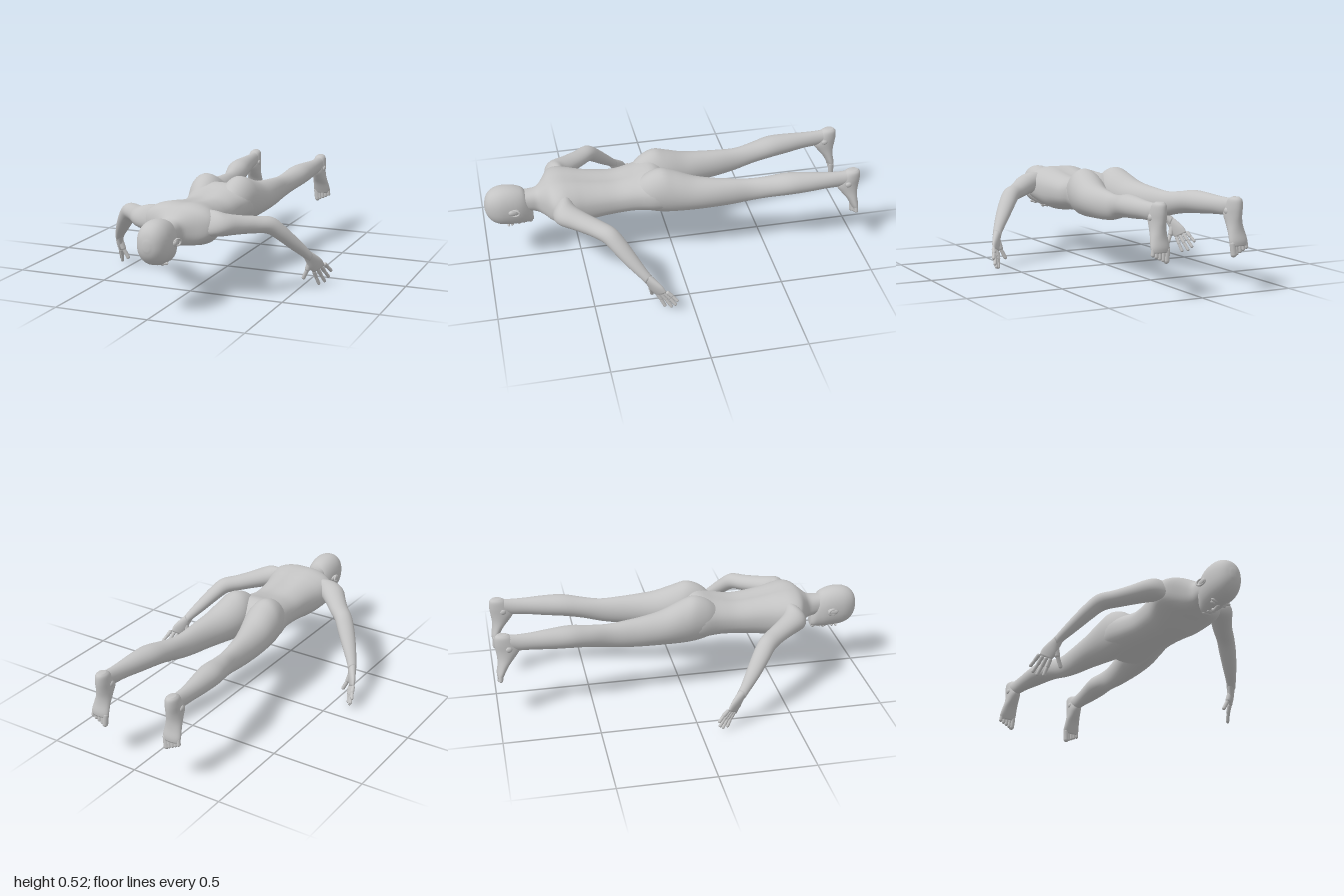
import * as THREE from 'three';

const skin = new THREE.MeshStandardMaterial({ color: 0xc4c4c4 });
skin.name = 'plainGrey';
const V = (x, y, z) => new THREE.Vector3(x, y, z);

// Smooth closed tube through sections [x, y, z, ru, rv]; u and v span each cross-section
function loft(name, secs, u, v, { sides = 24, steps = 4, power = 1, shape } = {}) {
  const centres = new THREE.CatmullRomCurve3(secs.map(s => V(s[0], s[1], s[2])), false, 'catmullrom');
  const radii = new THREE.CatmullRomCurve3(secs.map(s => V(s[3], s[4], 0)), false, 'catmullrom');
  const n = (secs.length - 1) * steps;
  const pos = [], index = [];
  const bend = t => Math.sign(t) * Math.abs(t) ** power;
  for (let i = -1; i <= n + 1; i++) {
    const t = Math.min(Math.max(i, 0), n) / n;
    const cap = i < 0 || i > n ? 0 : 1;
    const c = centres.getPoint(t), r = radii.getPoint(t);
    for (let j = 0; j < sides; j++) {
      const a = j / sides * Math.PI * 2;
      const p = c.clone()
        .addScaledVector(u, bend(Math.cos(a)) * Math.max(r.x, 0) * cap)
        .addScaledVector(v, bend(Math.sin(a)) * Math.max(r.y, 0) * cap);
      if (shape) shape(p, Math.sin(a) * cap);
      pos.push(p.x, p.y, p.z);
    }
  }
  const along = centres.getPoint(1).sub(centres.getPoint(0));
  const outward = u.clone().cross(v).dot(along) > 0;
  for (let i = 0; i < n + 2; i++) {
    for (let j = 0; j < sides; j++) {
      const k = (j + 1) % sides;
      const a = i * sides + j, b = i * sides + k, c = b + sides, d = a + sides;
      if (outward) index.push(a, b, c, a, c, d);
      else index.push(a, c, b, a, d, c);
    }
  }
  const g = new THREE.BufferGeometry();
  g.setAttribute('position', new THREE.Float32BufferAttribute(pos, 3));
  g.setIndex(index);
  g.computeVertexNormals();
  const m = new THREE.Mesh(g, skin);
  m.name = name;
  return m;
}

// Rounded rod between two points
function rod(name, a, b, r) {
  const d = b.clone().sub(a);
  const m = new THREE.Mesh(new THREE.CapsuleGeometry(r, Math.max(d.length() - 2 * r, 0.001), 5, 10), skin);
  m.position.copy(a).add(b).multiplyScalar(0.5);
  m.quaternion.setFromUnitVectors(V(0, 1, 0), d.normalize());
  m.name = name;
  return m;
}

function blob(name, p, s) {
  const m = new THREE.Mesh(new THREE.SphereGeometry(1, 20, 14), skin);
  m.position.set(...p);
  m.scale.set(...s);
  m.name = name;
  return m;
}

export function createModel() {
  const body = new THREE.Group();
  body.name = 'proneFigure';
  const X = V(1, 0, 0), Y = V(0, 1, 0), Z = V(0, 0, 1);
  // Section given as z, half width, underside and top
  const slice = ([z, w, lo, hi]) => [0, (lo + hi) / 2, z, w, (hi - lo) / 2];

  // Torso and neck, with a shallow groove down the spine
  body.add(loft('torso', [
    [0.82, 0.05, 0.32, 0.43], [0.76, 0.055, 0.315, 0.43], [0.72, 0.062, 0.305, 0.437],
    [0.69, 0.1, 0.295, 0.457], [0.65, 0.175, 0.285, 0.485], [0.6, 0.195, 0.275, 0.495],
    [0.54, 0.18, 0.258, 0.49], [0.48, 0.163, 0.25, 0.48], [0.4, 0.15, 0.26, 0.468],
    [0.3, 0.145, 0.27, 0.46], [0.2, 0.157, 0.278, 0.475], [0.1, 0.183, 0.275, 0.495],
    [0.03, 0.17, 0.275, 0.45], [-0.01, 0.09, 0.285, 0.39], [-0.025, 0.03, 0.31, 0.36],
  ].map(slice), X, Y, {
    sides: 40, power: 0.85,
    shape: (p, up) => {
      if (up > 0 && p.z < 0.68 && p.z > 0.15) p.y -= 0.014 * Math.exp(-((p.x / 0.04) ** 2)) * Math.sin((p.z - 0.15) / 0.53 * Math.PI);
    },
  }));

  // Head, face downward
  const head = new THREE.Group();
  head.name = 'head';
  head.add(loft('skull', [
    [0.745, 0.025, 0.25, 0.3], [0.76, 0.046, 0.242, 0.37], [0.785, 0.062, 0.24, 0.435],
    [0.82, 0.076, 0.242, 0.457], [0.87, 0.083, 0.245, 0.468], [0.92, 0.082, 0.252, 0.466],
    [0.96, 0.068, 0.272, 0.45], [0.985, 0.046, 0.303, 0.422], [0.998, 0.016, 0.34, 0.382],
  ].map(slice), X, Y, { sides: 32, power: 0.9 }));
  head.add(
    rod('noseBridge', V(0, 0.25, 0.868), V(0, 0.234, 0.825), 0.009),
    blob('noseTip', [0, 0.237, 0.824], [0.014, 0.013, 0.011]),
    blob('upperLip', [0, 0.241, 0.798], [0.022, 0.007, 0.006]),
    blob('lowerLip', [0, 0.242, 0.788], [0.019, 0.007, 0.006]),
    blob('chin', [0, 0.247, 0.762], [0.024, 0.014, 0.014]));
  for (const s of [1, -1]) {
    head.add(blob('eye', [s * 0.032, 0.254, 0.862], [0.015, 0.011, 0.009]));
    head.add(blob('brow', [s * 0.033, 0.256, 0.882], [0.026, 0.01, 0.007]));
    const ear = blob('ear', [s * 0.086, 0.357, 0.848], [0.01, 0.018, 0.029]);
    ear.rotation.y = s * 0.2;
    const rim = new THREE.Mesh(new THREE.TorusGeometry(0.021, 0.005, 8, 20), skin);
    rim.name = 'earRim';
    rim.rotation.y = Math.PI / 2 - s * 0.25;
    rim.scale.set(1.25, 0.8, 1);
    rim.position.set(s * 0.092, 0.356, 0.848);
    head.add(ear, rim);
  }
  body.add(head);

  for (const s of [1, -1]) {
    const side = s > 0 ? 'left' : 'right';
    const P = (x, y, z) => V(s * x, y, z);

    // Leg with buttock: inner x, outer x, underside, top, z
    body.add(loft(side + 'Leg', [
      [0.03, 0.135, 0.31, 0.45, 0.2], [0.008, 0.17, 0.29, 0.503, 0.14], [0, 0.19, 0.277, 0.528, 0.07],
      [0, 0.2, 0.275, 0.508, 0], [0.03, 0.206, 0.283, 0.472, -0.1], [0.062, 0.205, 0.29, 0.456, -0.2],
      [0.086, 0.2, 0.297, 0.447, -0.3], [0.105, 0.2, 0.312, 0.441, -0.4], [0.115, 0.225, 0.335, 0.451, -0.5],
      [0.122, 0.249, 0.35, 0.467, -0.6], [0.142, 0.25, 0.358, 0.466, -0.7], [0.164, 0.245, 0.368, 0.46, -0.8],
      [0.176, 0.241, 0.372, 0.459, -0.88], [0.18, 0.241, 0.385, 0.462, -0.94], [0.19, 0.232, 0.4, 0.45, -0.975],
    ].map(([a, b, lo, hi, z]) => [s * (a + b) / 2, (lo + hi) / 2, z, (b - a) / 2, (hi - lo) / 2]), X, Y, { sides: 28 }));

    // Foot pointing down from the heel
    const foot = new THREE.Group();
    foot.name = side + 'Foot';
    foot.add(loft('footBody', [
      [0.21, 0.47, -0.955, 0.018, 0.024], [0.21, 0.455, -0.95, 0.031, 0.043], [0.21, 0.42, -0.94, 0.036, 0.056],
      [0.21, 0.38, -0.93, 0.037, 0.062], [0.212, 0.34, -0.94, 0.039, 0.047], [0.215, 0.3, -0.957, 0.045, 0.031],
      [0.217, 0.26, -0.972, 0.05, 0.023], [0.217, 0.235, -0.978, 0.046, 0.016],
    ].map(([x, ...r]) => [s * x, ...r]), X, Z));
    for (let i = 0; i < 5; i++) {
      const x = 0.183 + i * 0.0185, r = i ? 0.0105 : 0.0155;
      foot.add(rod('toe', P(x - 0.002, 0.26, -0.975), P(x + (i ? 0.003 : 0.006), 0.18 + i * 0.009, -0.979), r));
    }
    for (const [x, y] of [[0.178, 0.4], [0.244, 0.395]]) foot.add(blob('ankleBone', [s * x, y, -0.925], [0.01, 0.016, 0.017]));
    body.add(foot);

    // Arm, reaching outward then down
    body.add(loft(side + 'Arm', [
      [0.09, 0.405, 0.6, 0.06, 0.06], [0.16, 0.402, 0.605, 0.068, 0.066], [0.215, 0.393, 0.585, 0.066, 0.059],
      [0.27, 0.384, 0.525, 0.057, 0.05], [0.33, 0.375, 0.455, 0.051, 0.045], [0.39, 0.364, 0.395, 0.048, 0.044],
      [0.435, 0.32, 0.35, 0.046, 0.041], [0.485, 0.258, 0.298, 0.038, 0.035], [0.53, 0.2, 0.247, 0.027, 0.027],
      [0.548, 0.172, 0.222, 0.024, 0.025],
    ].map(([x, ...r]) => [s * x, ...r]), P(0.7, 0, 0.71), P(0.25, 0.93, -0.28)));

    // Hand with spread fingers
    const hand = new THREE.Group();
    hand.name = side + 'Hand';
    const across = P(0.59, 0.46, -0.66).normalize();
    const normal = across.clone().cross(P(0.3, -0.69, -0.55)).normalize();
    hand.add(loft('palm', [
      [0.537, 0.19, 0.238, 0.024, 0.022], [0.553, 0.16, 0.212, 0.033, 0.02],
      [0.567, 0.128, 0.188, 0.042, 0.017], [0.578, 0.1, 0.168, 0.038, 0.012],
    ].map(([x, ...r]) => [s * x, ...r]), across, normal));
    const tips = [[0.575, 0.004, 0.142], [0.598, 0.013, 0.112], [0.613, 0.034, 0.093], [0.624, 0.067, 0.086]];
    tips.forEach((t, i) => {
      const root = P(0.558 + i * 0.014, 0.092 + i * 0.01, 0.188 - i * 0.015);
      const tip = P(...t);
      const knuckle = root.clone().lerp(tip, 0.55).addScaledVector(normal, 0.003 * s);
      hand.add(rod('fingerBase', root, knuckle, 0.0105), rod('fingerTip', knuckle.clone().lerp(root, 0.2), tip, 0.009));
    });
    hand.add(rod('thumbBase', P(0.548, 0.155, 0.215), P(0.53, 0.09, 0.208), 0.015));
    hand.add(rod('thumbTip', P(0.535, 0.105, 0.21), P(0.505, 0.042, 0.2), 0.0105));
    body.add(hand);
  }
  return body;
}
